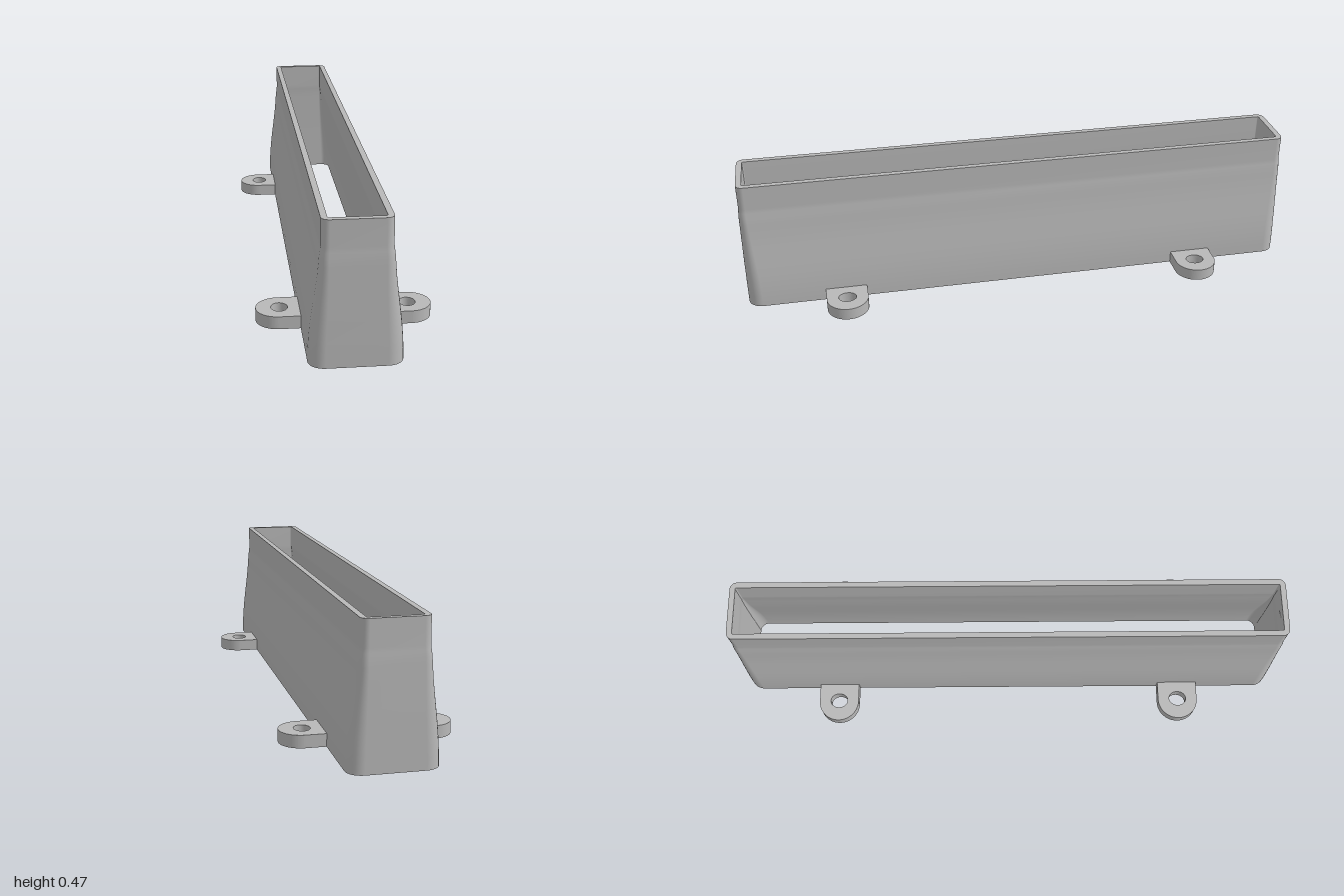
import * as THREE from 'three';

const WALL = 0.02;

// Rounded rectangle ring at height y: half-sizes hx, hz and corner radius r
function ring(hx, hz, r, y, seg = 8) {
  const pts = [];
  const signs = [[1, 1], [-1, 1], [-1, -1], [1, -1]];
  signs.forEach(([sx, sz], c) => {
    for (let i = 0; i <= seg; i++) {
      const a = (c + i / seg) * Math.PI / 2;
      pts.push([sx * (hx - r) + r * Math.cos(a), y, sz * (hz - r) + r * Math.sin(a)]);
    }
  });
  return pts;
}

// Skin a list of rings into a smooth surface
function loft(rings) {
  const n = rings[0].length;
  const index = [];
  for (let j = 0; j < rings.length - 1; j++) {
    for (let i = 0; i < n; i++) {
      const k = (i + 1) % n;
      const a = j * n + i, b = j * n + k, c = a + n, d = b + n;
      index.push(a, c, b, b, c, d);
    }
  }
  const geo = new THREE.BufferGeometry();
  geo.setAttribute('position', new THREE.Float32BufferAttribute(rings.flat(2), 3));
  geo.setIndex(index);
  geo.computeVertexNormals();
  return geo;
}

export function createModel() {
  const model = new THREE.Group();
  model.name = 'ductAdapter';
  const grey = new THREE.MeshStandardMaterial({ color: 0xb8b8b8 });
  grey.name = 'grey plastic';

  const add = (name, geo, parent = model) => {
    const mesh = new THREE.Mesh(geo, grey);
    mesh.name = name;
    parent.add(mesh);
    return mesh;
  };

  // Duct levels: height, half width, half length, corner radius
  const levels = [
    [0, 0.145, 1, 0.05], [0.04, 0.1445, 1, 0.05], [0.08, 0.142, 1, 0.049],
    [0.12, 0.1385, 0.9995, 0.047], [0.16, 0.1335, 0.9995, 0.044], [0.2, 0.128, 0.999, 0.04],
    [0.24, 0.1225, 0.9985, 0.036], [0.28, 0.1175, 0.998, 0.032], [0.32, 0.114, 0.9975, 0.029],
    [0.345, 0.112, 0.997, 0.027], [0.365, 0.109, 0.9955, 0.025], [0.38, 0.1075, 0.9945, 0.025],
    [0.467, 0.1075, 0.9945, 0.025],
  ];
  const outer = levels.map(([y, x, z, r]) => ring(x, z, r, y));
  const inner = levels.map(([y, x, z, r]) => ring(x - WALL, z - WALL, Math.max(r - WALL, 0.005), y));
  const top = levels.length - 1;

  const duct = new THREE.Group();
  duct.name = 'duct';
  model.add(duct);
  add('outerWall', loft(outer), duct);
  add('topRim', loft([outer[top], inner[top]]), duct);
  add('innerWall', loft([...inner].reverse()), duct);
  add('bottomRim', loft([inner[0], outer[0]]), duct);

  // Mounting tabs with rounded ends and screw holes
  const R = 0.074, CX = 0.212;
  const shape = new THREE.Shape();
  shape.moveTo(0.133, -R);
  shape.lineTo(CX, -R);
  shape.absarc(CX, 0, R, -Math.PI / 2, Math.PI / 2, false);
  shape.lineTo(0.133, R);
  shape.closePath();
  const hole = new THREE.Path();
  hole.absellipse(CX - 0.003, 0, 0.027, 0.032, 0, Math.PI * 2, true);
  shape.holes.push(hole);
  const tabGeo = new THREE.ExtrudeGeometry(shape, { depth: 0.043, bevelEnabled: false, curveSegments: 24 });
  tabGeo.rotateX(-Math.PI / 2);
  for (const side of [1, -1]) {
    for (const z of [0.65, -0.65]) {
      const tab = add(`${side > 0 ? 'left' : 'right'}${z > 0 ? 'Front' : 'Back'}Tab`, tabGeo);
      tab.rotation.y = side > 0 ? 0 : Math.PI;
      tab.position.z = z;
    }
  }
  return model;
}
